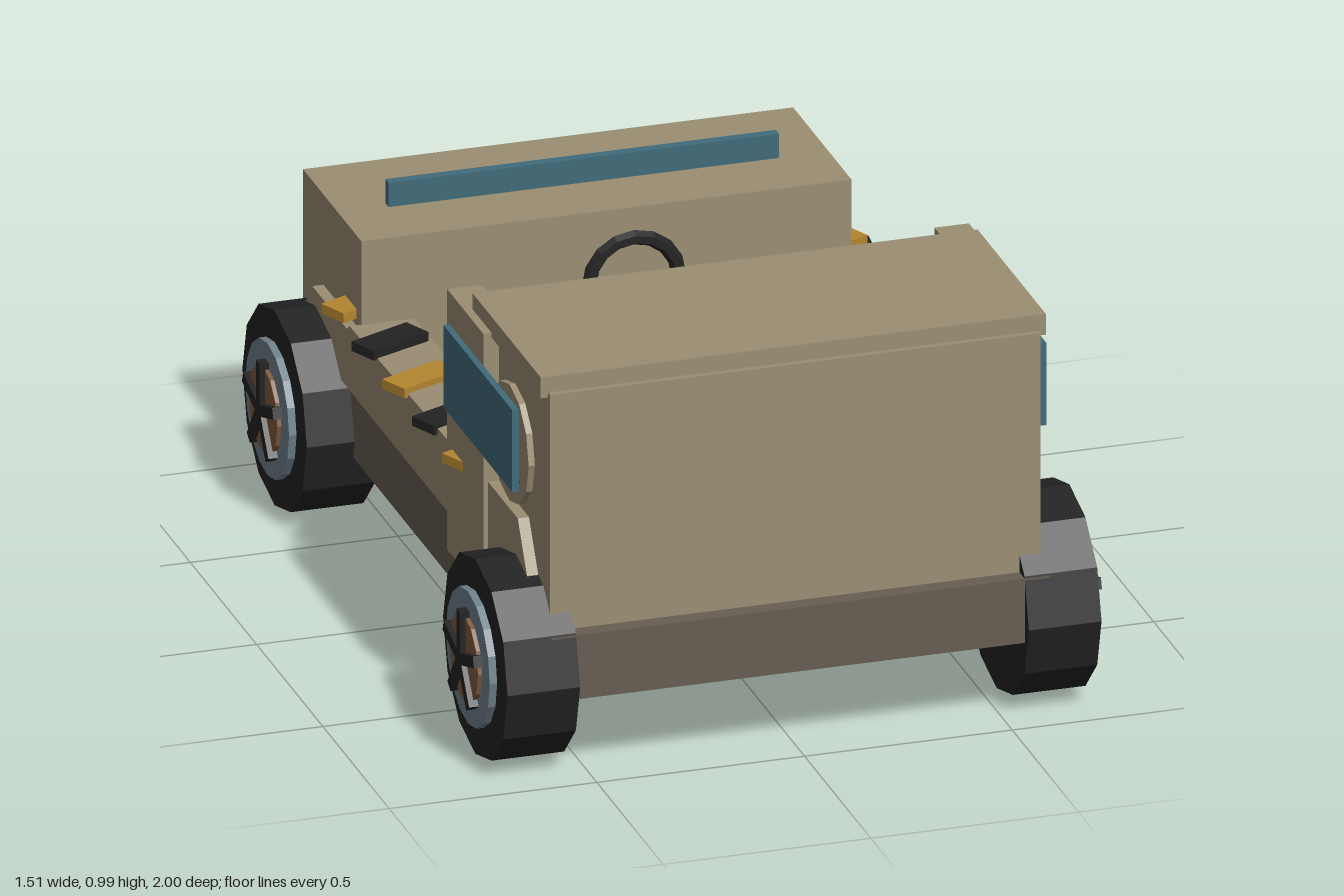
import * as THREE from 'three';

const mat = (name, color) => {
  const m = new THREE.MeshStandardMaterial({ color });
  m.name = name;
  m.flatShading = true;
  return m;
};

export function createModel() {
  const tan = mat('tan paint', 0x9b8e73);
  const umber = mat('umber chassis', 0x675d52);
  const black = mat('black rubber', 0x232323);
  const gold = mat('ochre stripe', 0xb58530);
  const teal = mat('teal glass', 0x416b7a);
  const steel = mat('blue grey metal', 0x6e818b);
  const copper = mat('copper hub', 0x7f5b3e);
  const rust = mat('rust brown', 0x64422f);

  const model = new THREE.Group();
  model.name = 'openTruck';

  const add = (name, geo, material, parent = model) => {
    const m = new THREE.Mesh(geo, material);
    m.name = name;
    parent.add(m);
    return m;
  };
  // Box given by its limits on each axis
  const box = (name, material, x0, x1, y0, y1, z0, z1, parent) => {
    const g = new THREE.BoxGeometry(Math.abs(x1 - x0), y1 - y0, z1 - z0);
    g.translate((x0 + x1) / 2, (y0 + y1) / 2, (z0 + z1) / 2);
    return add(name, g, material, parent);
  };
  // Cylinder along x between two x limits
  const disc = (name, material, r, x0, x1, sides, parent) => {
    const g = new THREE.CylinderGeometry(r, r, Math.abs(x1 - x0), sides);
    g.rotateZ(Math.PI / 2);
    g.translate((x0 + x1) / 2, 0, 0);
    return add(name, g, material, parent);
  };

  // Chassis, cab block, roof and bonnet
  box('chassis', umber, -0.6, 0.6, 0.2, 0.36, -0.97, 0.97);
  box('cab', tan, -0.59, 0.59, 0.36, 0.95, 0.42, 0.93);
  box('roof', tan, -0.608, 0.608, 0.938, 0.99, 0.4, 0.915);
  box('bonnet', tan, -0.59, 0.59, 0.36, 0.75, -0.935, -0.495);
  box('windscreen', teal, -0.47, 0.47, 0.74, 0.81, -0.69, -0.665);

  // Grille with upright bars
  box('grille', black, -0.285, 0.285, 0.39, 0.52, -0.973, -0.93);
  for (let i = -2; i <= 2; i++)
    box('grilleBar', steel, i * 0.1 - 0.012, i * 0.1 + 0.012, 0.4, 0.51, -0.985, -0.965);

  // Side panel profile, drawn in z and y, with a fender at each end
  const profile = [[0.84, 0.38], [0.84, 0.465], [0.77, 0.58], [0.545, 0.58], [0.53, 0.56],
    [0.27, 0.56], [-0.5, 0.54], [-0.52, 0.525], [-0.78, 0.525], [-0.84, 0.455], [-0.84, 0.38]];
  const side = new THREE.Shape(profile.map(([z, y]) => new THREE.Vector2(-z, y)));

  for (const s of [-1, 1]) {
    const g = new THREE.ExtrudeGeometry(side, { depth: 0.155, bevelEnabled: false });
    g.rotateY(Math.PI / 2);
    g.translate(s > 0 ? 0.462 : -0.617, 0, 0);
    add('sidePanel', g, tan);

    // Door pillar, side window and the round boss behind it
    box('pillar', tan, s * 0.545, s * 0.628, 0.3, 0.95, 0.272, 0.545);
    box('sideWindow', teal, s * 0.627, s * 0.643, 0.665, 0.87, 0.29, 0.81);
    disc('sideBoss', tan, 0.145, s * 0.58, s * 0.605, 12).position.set(0, 0.727, 0.67);
    const handle = add('doorHandle', new THREE.CylinderGeometry(0.092, 0.065, 0.028, 10), rust);
    handle.scale.x = 0.4;
    handle.position.set(s * 0.588, 0.648, 0.672);

    box('headlight', steel, s * 0.33, s * 0.505, 0.553, 0.63, -0.965, -0.93);

    // Slanted stripes along the side panel
    [-0.585, -0.355, -0.125, 0.1, 0.325].forEach((z, i) => {
      const stripe = add('stripe', new THREE.BoxGeometry(0.168, 0.024, 0.077), i % 2 ? black : gold);
      stripe.position.set(s * 0.565, 0.554, z);
      stripe.rotation.y = 0.42;
    });

    // Wheels: tyre, rim, hub and five spokes
    for (const z of [-0.757, 0.757]) {
      const wheel = new THREE.Group();
      wheel.name = 'wheel';
      wheel.position.set(0, 0.243, z);
      model.add(wheel);
      disc('tyre', black, 0.243, s * 0.54, s * 0.715, 12, wheel);
      disc('rim', steel, 0.165, s * 0.7, s * 0.733, 16, wheel);
      disc('hub', copper, 0.108, s * 0.72, s * 0.743, 12, wheel);
      for (let i = 0; i < 5; i++) {
        const spoke = box('spoke', black, s * 0.733, s * 0.756, 0, 0.12, -0.014, 0.014, wheel);
        spoke.rotation.x = (i * Math.PI * 2) / 5;
      }
    }
  }

  // Driver's seat
  box('seatCushion', black, -0.215, 0.215, 0.36, 0.48, -0.095, 0.39);
  box('seatBack', black, -0.215, 0.215, 0.48, 0.74, 0.285, 0.39);
  box('seatPanel', umber, -0.165, 0.165, 0.53, 0.705, 0.264, 0.29);

  // Steering wheel, crossbar and column
  const ring = add('steeringWheel', new THREE.TorusGeometry(0.108, 0.018, 6, 16), black);
  ring.position.set(0, 0.66, -0.288);
  box('steeringCrossbar', steel, -0.1, 0.1, 0.638, 0.672, -0.3, -0.28);
  const column = add('steeringColumn', new THREE.CylinderGeometry(0.013, 0.013, 0.36, 8), steel);
  column.position.set(0, 0.505, -0.385);
  column.rotation.x = Math.atan2(0.17, 0.31);

  return model;
}
